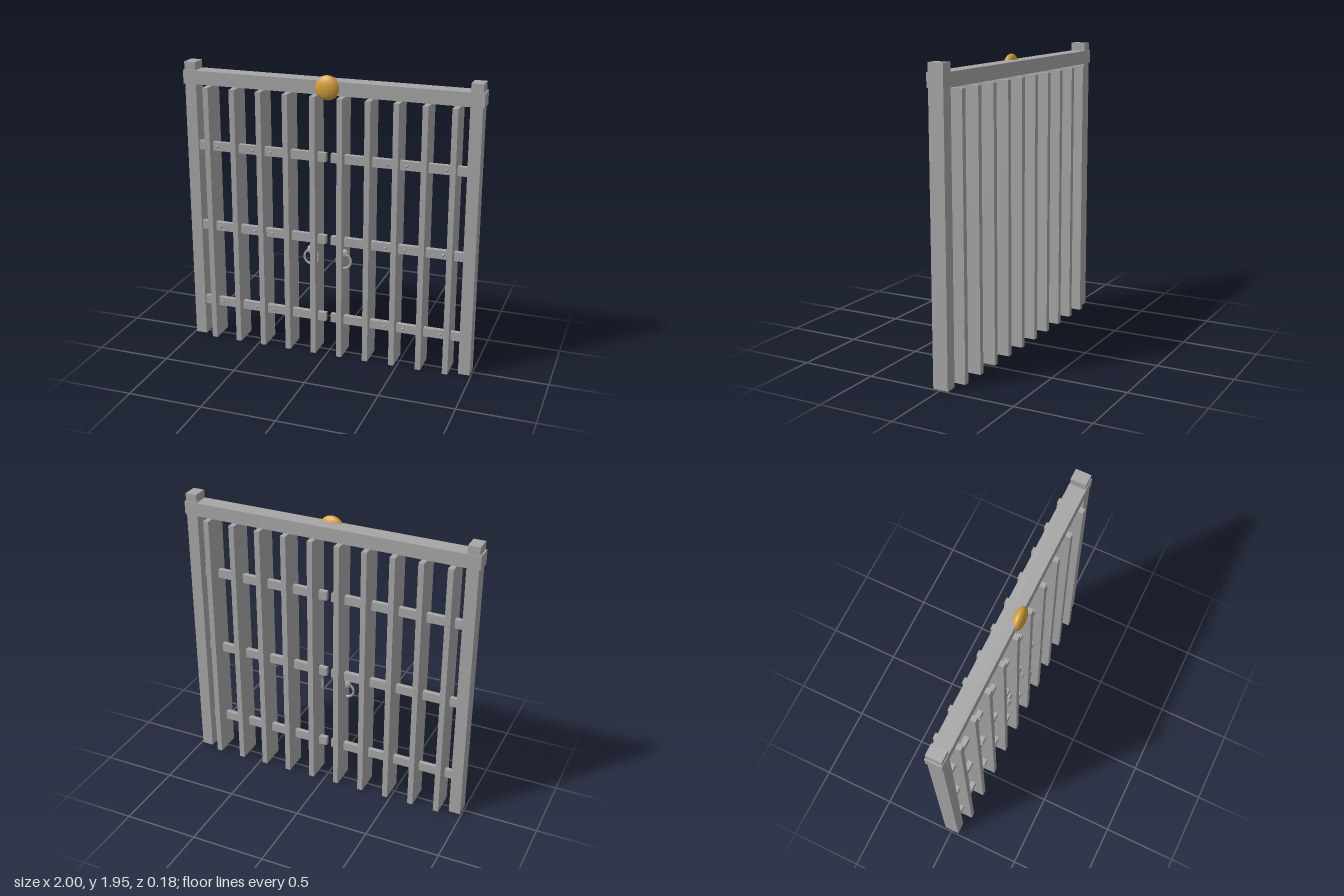
import * as THREE from 'three';

const metal = new THREE.MeshStandardMaterial({ color: 0xa6a6a6 });
metal.name = 'grey metal';
const gold = new THREE.MeshStandardMaterial({ color: 0xd4a03c });
gold.name = 'gold';

function add(parent, name, geometry, material, x, y, z) {
  const mesh = new THREE.Mesh(geometry, material);
  mesh.name = name;
  mesh.position.set(x, y, z);
  parent.add(mesh);
  return mesh;
}

// One door leaf: upright slats, riveted cross rails and a ring handle
function buildLeaf(side) {
  const leaf = new THREE.Group();
  leaf.name = side > 0 ? 'leftDoor' : 'rightDoor';

  const slat = new THREE.BoxGeometry(0.037, 1.795, 0.175);
  for (let i = 0; i < 5; i++) {
    add(leaf, 'slat', slat, metal, side * (0.092 + 0.1845 * i), 0.8975, 0);
  }

  const rail = new THREE.BoxGeometry(0.895, 0.06, 0.032);
  const rivet = new THREE.SphereGeometry(0.01, 10, 8);
  for (const y of [0.257, 0.82, 1.388]) {
    add(leaf, 'crossRail', rail, metal, side * 0.4645, y, 0.02);
    for (let i = 0; i < 5; i++) {
      add(leaf, 'rivet', rivet, metal, side * (0.27 + 0.1275 * i), y, 0.036);
    }
  }

  // Ring hanging from a short boss
  add(leaf, 'handleRing', new THREE.TorusGeometry(0.05, 0.008, 10, 36), metal, side * 0.113, 0.693, 0.047);
  const boss = add(leaf, 'handleBoss', new THREE.SphereGeometry(0.034, 20, 12), metal, side * 0.113, 0.742, 0.04);
  boss.scale.z = 0.5;
  return leaf;
}

export function createModel() {
  const gate = new THREE.Group();
  gate.name = 'gate';

  // Frame
  const post = new THREE.BoxGeometry(0.078, 1.95, 0.102);
  for (const side of [-1, 1]) {
    add(gate, side > 0 ? 'leftPost' : 'rightPost', post, metal, side * 0.951, 0.975, 0);
    gate.add(buildLeaf(side));
  }
  add(gate, 'topBeam', new THREE.BoxGeometry(2, 0.09, 0.11), metal, 0, 1.85, 0);

  // Flattened ornament on the beam
  const ornament = add(gate, 'ornament', new THREE.SphereGeometry(0.08, 32, 20), gold, 0, 1.852, 0.05);
  ornament.scale.z = 0.47;
  return gate;
}
